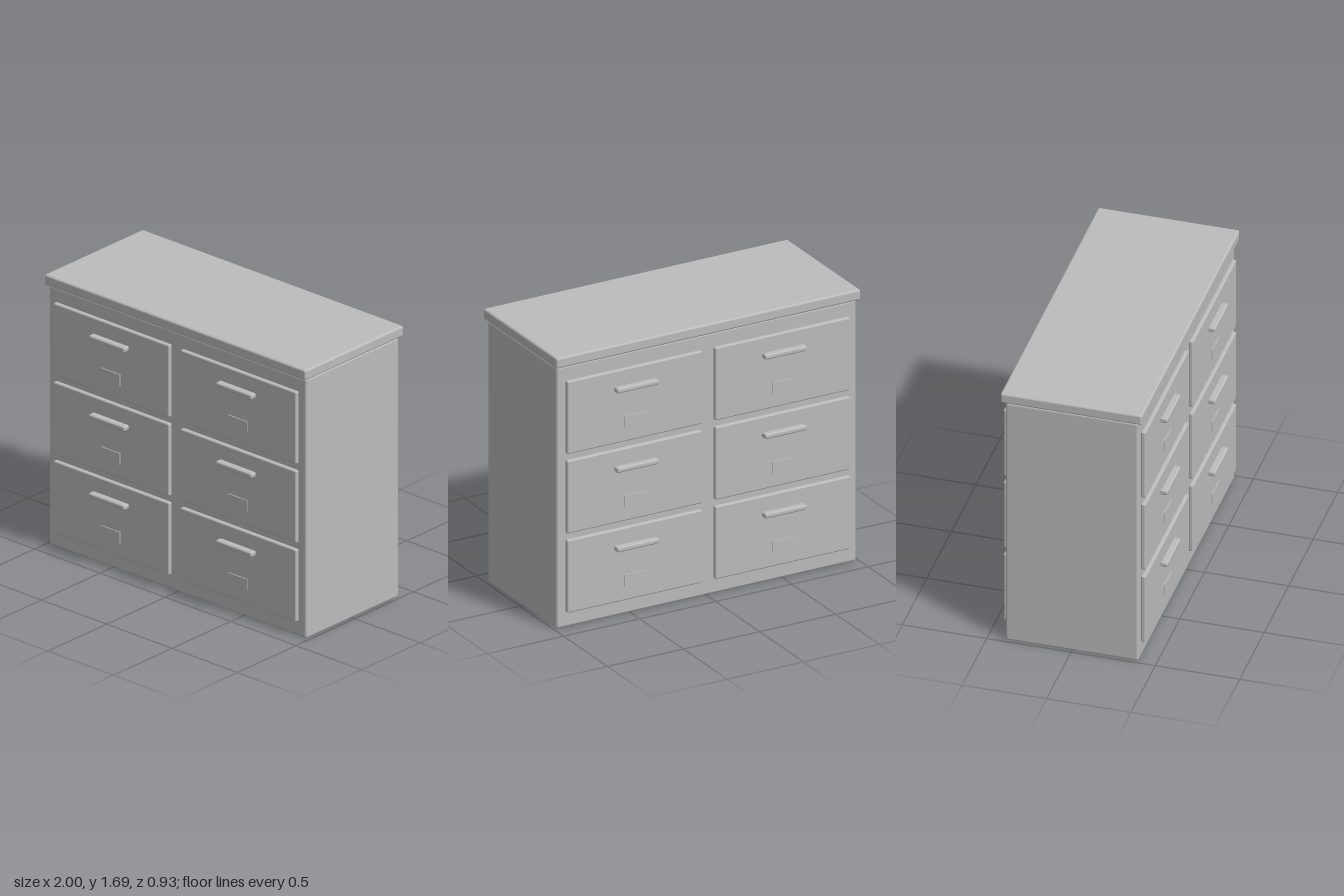
import * as THREE from 'three';
import { RoundedBoxGeometry } from 'three/addons/geometries/RoundedBoxGeometry.js';

const grey = new THREE.MeshStandardMaterial({ color: 0xbcbcbc });
grey.name = 'grey';

// Bevelled box given by its size, centre and edge radius
function block(name, [w, h, d], [x, y, z], radius) {
  const mesh = new THREE.Mesh(new RoundedBoxGeometry(w, h, d, 2, radius), grey);
  mesh.name = name;
  mesh.position.set(x, y, z);
  return mesh;
}

// Drawer front with its pull handle and label plate
function createDrawer() {
  const drawer = new THREE.Group();
  drawer.name = 'drawer';
  drawer.add(block('drawerFront', [0.886, 0.452, 0.03], [0, 0, 0.407], 0.01));
  drawer.add(block('handle', [0.276, 0.032, 0.046], [0, 0.114, 0.44], 0.011));
  const label = new THREE.Mesh(new THREE.BoxGeometry(0.145, 0.07, 0.009), grey);
  label.name = 'labelPlate';
  label.position.set(0, -0.101, 0.4235);
  drawer.add(label);
  return drawer;
}

export function createModel() {
  const model = new THREE.Group();
  model.name = 'chestOfDrawers';

  // Cabinet and overhanging top
  model.add(block('cabinet', [1.97, 1.622, 0.79], [0, 0.811, 0], 0.015));
  model.add(block('topBoard', [2, 0.066, 0.84], [0, 1.657, 0], 0.013));

  // Two columns of three drawers on both long sides
  for (const side of ['front', 'back']) {
    const bank = new THREE.Group();
    bank.name = side + 'Drawers';
    if (side === 'back') bank.rotation.y = Math.PI;
    for (const x of [-0.486, 0.486]) {
      for (let row = 0; row < 3; row++) {
        const drawer = createDrawer();
        drawer.position.set(x, 0.322 + row * 0.4925, 0);
        bank.add(drawer);
      }
    }
    model.add(bank);
  }
  return model;
}
